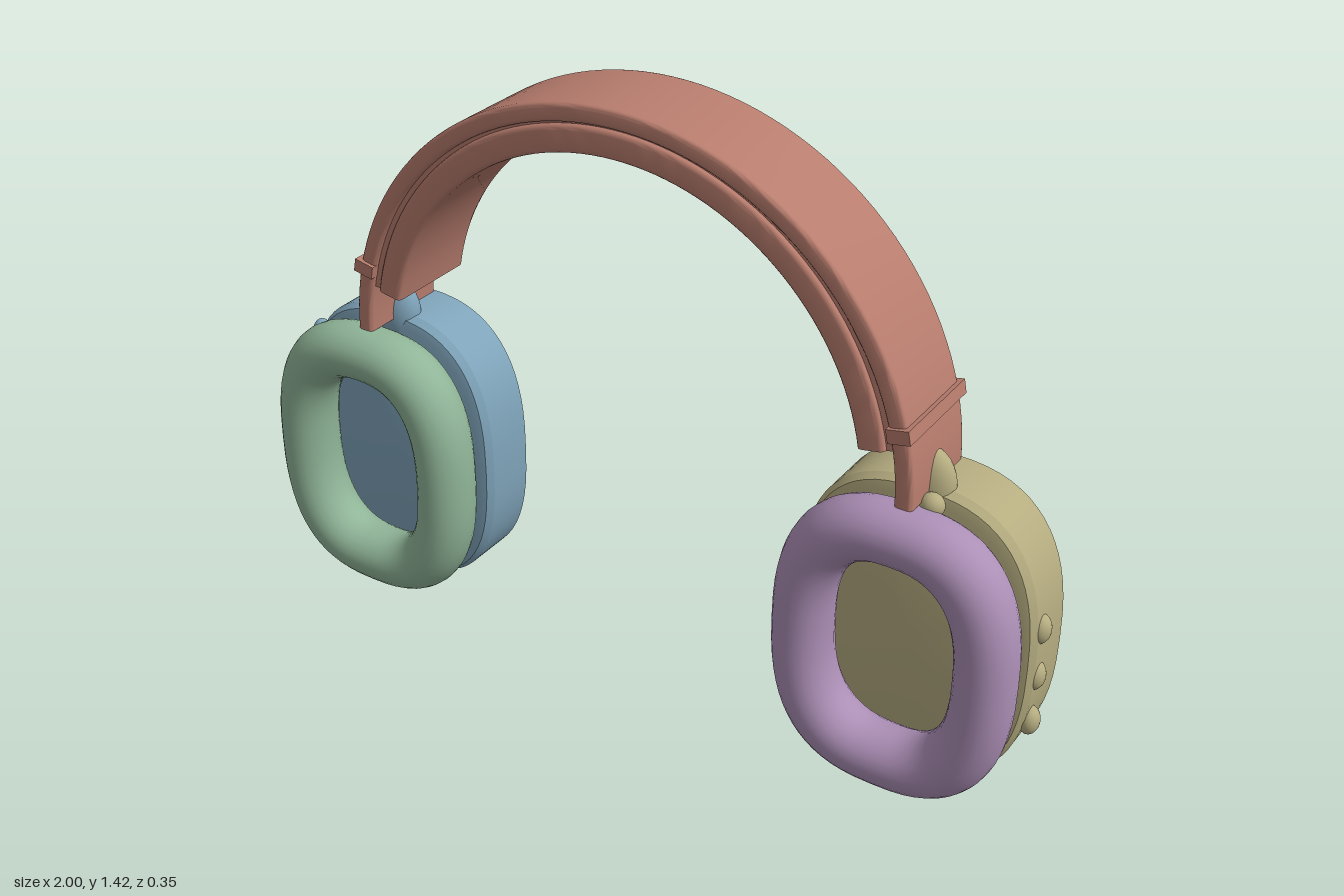
import * as THREE from 'three';
import { toCreasedNormals } from 'three/addons/utils/BufferGeometryUtils.js';

const mat = (name, color) => {
  const m = new THREE.MeshStandardMaterial({ color });
  m.name = name;
  return m;
};

// Skin a list of point rings; capped at both ends unless the path is closed.
function loft(rings, closed, crease) {
  const n = rings[0].length, m = rings.length;
  const pos = rings.flat().flatMap(p => p.toArray()), index = [];
  for (let i = 0; i < (closed ? m : m - 1); i++) {
    for (let j = 0; j < n; j++) {
      const k = (j + 1) % n, next = (i + 1) % m;
      const a = i * n + j, b = i * n + k, c = next * n + j, d = next * n + k;
      index.push(a, c, b, b, c, d);
    }
  }
  if (!closed) {
    for (const [row, first] of [[0, true], [m - 1, false]]) {
      const mid = new THREE.Vector3();
      rings[row].forEach(p => mid.addScaledVector(p, 1 / n));
      const id = pos.length / 3;
      pos.push(...mid.toArray());
      for (let j = 0; j < n; j++) {
        const a = row * n + j, b = row * n + (j + 1) % n;
        index.push(...(first ? [id, a, b] : [id, b, a]));
      }
    }
  }
  const g = new THREE.BufferGeometry();
  g.setAttribute('position', new THREE.Float32BufferAttribute(pos, 3));
  g.setIndex(index);
  return toCreasedNormals(g, crease);
}

// Point on a squarish oval
function oval(t, hx, hy, z, power = 2.6) {
  const f = v => Math.sign(v) * Math.abs(v) ** (2 / power);
  return new THREE.Vector3(hx * f(Math.cos(t)), hy * f(Math.sin(t)), z);
}

const steps = (n, fn) => Array.from({ length: n }, (_, i) => fn(i / n));

// Cup shell: ovals stepped from the front face to the bevelled back
function cupGeometry() {
  const profile = [[0.03, 0.02], [0.01, 0.014], [0, -0.005], [0, -0.135], [0.036, -0.16], [0.065, -0.173]];
  return loft(profile.map(([inset, z]) =>
    steps(64, u => oval(u * Math.PI * 2, 0.281 - inset, 0.365 - inset, z))), false, 0.45);
}

// Ear cushion: padded ring following the same oval
function cushionGeometry() {
  return loft(steps(64, u => steps(24, v => {
    const a = v * Math.PI * 2, r = 0.067 * Math.cos(a);
    return oval(u * Math.PI * 2, 0.214 + r, 0.287 + r, 0.096 + 0.077 * Math.sin(a));
  })), true, 1);
}

// Arched strip with a rounded rectangular section
function archGeometry(a, b, half, halfZ, round, start) {
  const section = [];
  [[1, 1], [-1, 1], [-1, -1], [1, -1]].forEach(([sx, sz], q) => {
    for (let i = 0; i <= 3; i++) {
      const t = (q + i / 3) * Math.PI / 2;
      section.push([sx * (half - round) + round * Math.cos(t), sz * (halfZ - round) + round * Math.sin(t)]);
    }
  });
  const rings = [];
  for (let i = 0; i <= 64; i++) {
    const t = start + (Math.PI - 2 * start) * i / 64;
    rings.push(section.map(([d, z]) =>
      new THREE.Vector3((a + d) * Math.cos(t), 0.72 + (b + d) * Math.sin(t), z - 0.015)));
  }
  return loft(rings, false, 0.6);
}

export function createModel() {
  const model = new THREE.Group();
  model.name = 'headphones';
  const clay = mat('clay', 0xb87d6e);
  const blue = mat('dustyBlue', 0x7fa4ba);
  const tan = mat('khaki', 0xb5ac80);
  const green = mat('sageGreen', 0x90b598);
  const purple = mat('mauve', 0xac8fb6);

  const add = (parent, name, geometry, material, x = 0, y = 0, z = 0) => {
    const mesh = new THREE.Mesh(geometry, material);
    mesh.name = name;
    mesh.position.set(x, y, z);
    parent.add(mesh);
    return mesh;
  };

  // Headband: outer strip, recessed core and inner pad
  add(model, 'headband', archGeometry(0.705, 0.684, 0.021, 0.12, 0.01, 0), clay);
  add(model, 'headbandCore', archGeometry(0.673, 0.661, 0.016, 0.108, 0.004, 0.18), clay);
  add(model, 'headbandPad', archGeometry(0.635, 0.627, 0.032, 0.12, 0.012, 0.18), clay);

  const cup = cupGeometry(), cushion = cushionGeometry();
  const ball = new THREE.SphereGeometry(1, 24, 16);
  const sides = [
    { name: 'left', s: 1, shell: tan, pad: purple, buttons: [0.45, 0.33, 0.21] },
    { name: 'right', s: -1, shell: blue, pad: green, buttons: [0.45, 0.33, 0.21] },
  ];
  for (const { name, s, shell, pad, buttons } of sides) {
    const side = new THREE.Group();
    side.name = name + 'Earpiece';
    model.add(side);

    add(side, 'cupShell', cup, shell, s * 0.704, 0.365, 0);
    add(side, 'earCushion', cushion, pad, s * 0.704, 0.366, 0);

    // Collar around the headband arm
    const collar = add(side, 'armCollar', new THREE.BoxGeometry(0.052, 0.032, 0.258), clay, s * 0.688, 0.888, -0.015);
    collar.rotation.z = s * 0.2;

    // Hinge domes on top of the cup
    add(side, 'hingeDome', ball, shell, s * 0.704, 0.72, -0.015).scale.set(0.064, 0.09, 0.044);
    add(side, 'hingeStud', ball, shell, s * 0.742, 0.71, 0.042).scale.set(0.028, 0.028, 0.026);

    // Side buttons
    for (const y of buttons) {
      add(side, 'button', ball, shell, s * 0.976, y, -0.03).scale.set(0.024, 0.035, 0.027);
    }
  }
  // Larger power button on the right cup only
  add(model.getObjectByName('rightEarpiece'), 'powerButton', ball, blue, -0.975, 0.565, -0.035).scale.set(0.025, 0.046, 0.027);
  return model;
}
